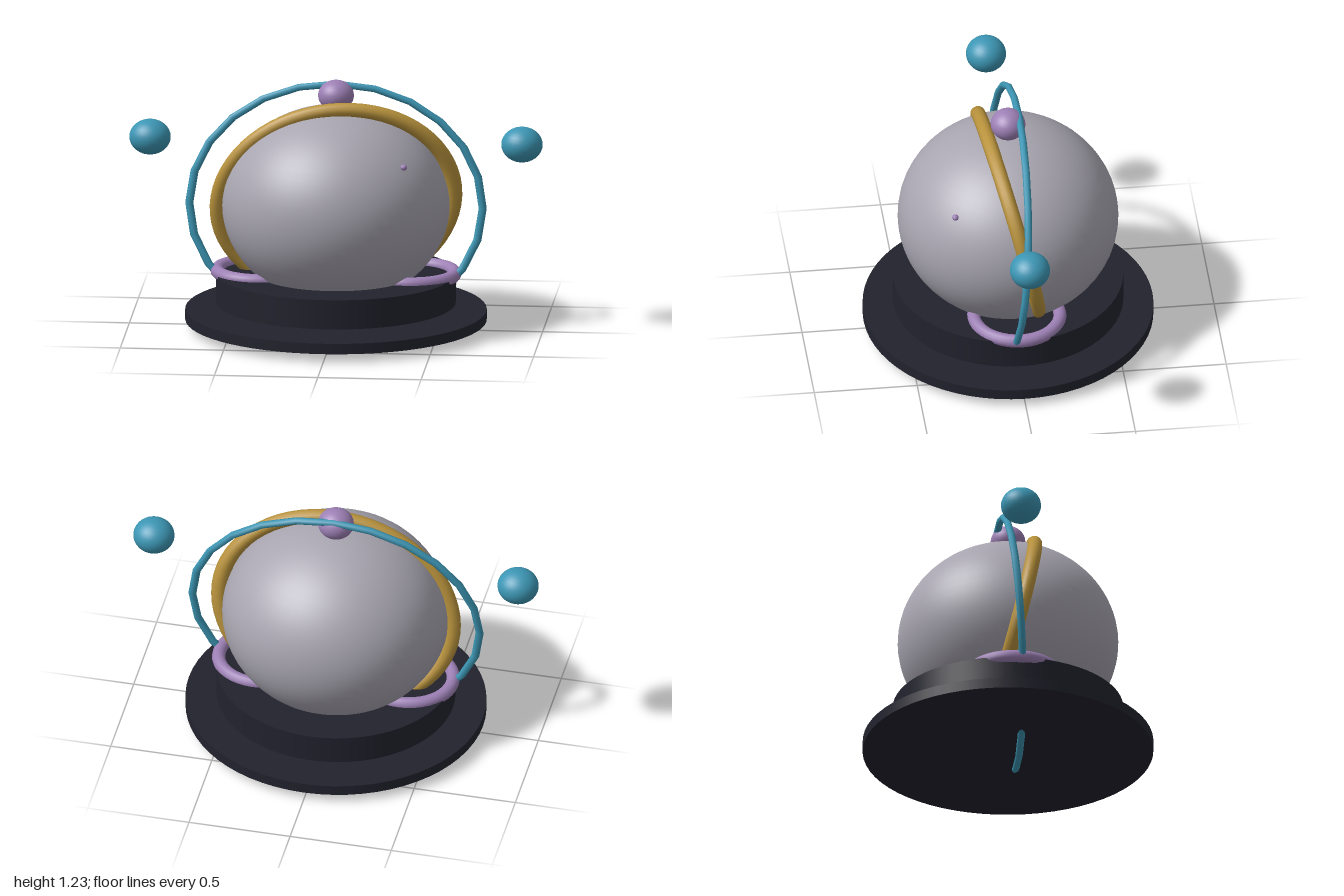
import * as THREE from 'three';

const mat = (name, color) => {
  const m = new THREE.MeshStandardMaterial({ color });
  m.name = name;
  return m;
};

export function createModel() {
  const group = new THREE.Group();
  const grey = mat('grey', 0xa8a5b0);
  const gold = mat('gold', 0xb8923c);
  const teal = mat('teal', 0x3c96b4);
  const purple = mat('purple', 0x9d80b5);
  const dark = mat('dark', 0x22222e);

  const add = (name, geometry, material) => {
    const mesh = new THREE.Mesh(geometry, material);
    mesh.name = name;
    group.add(mesh);
    return mesh;
  };

  // Ellipsoid from a centre and three radii
  const ball = (name, material, centre, radii, segments = 32) => {
    const g = new THREE.SphereGeometry(1, segments, segments / 2);
    g.scale(...radii).translate(...centre);
    return add(name, g, material);
  };

  // Elliptical ring spanned by two half-axes u and v
  const ring = (name, material, centre, u, v, tube, sides, segments) => {
    const U = new THREE.Vector3(...u), V = new THREE.Vector3(...v);
    const R = (U.length() + V.length()) / 2;
    const N = new THREE.Vector3().crossVectors(U, V).setLength(R);
    const g = new THREE.TorusGeometry(1, tube / R, sides, segments);
    g.applyMatrix4(new THREE.Matrix4().makeBasis(U, V, N).setPosition(...centre));
    return add(name, g, material);
  };

  // Slightly oval disc between two heights
  const disc = (name, rx, rz, y0, y1) => {
    const g = new THREE.CylinderGeometry(1, 1, y1 - y0, 64);
    g.scale(rx, 1, rz).translate(0, (y0 + y1) / 2, 0);
    return add(name, g, dark);
  };

  // Main body and the two stacked base discs
  ball('body', grey, [0, 0.618, 0], [0.55, 0.48, 0.532], 64);
  disc('upperBase', 0.578, 0.556, 0.132, 0.277);
  disc('lowerBase', 0.727, 0.701, 0.045, 0.097);

  // Rings around the body
  ring('goldRing', gold, [0, 0.635, 0], [0.569, 0.025, -0.04], [0.025, 0.476, 0.105], 0.036, 12, 64);
  ring('outerRing', teal, [0, 0.61, 0], [0.71, 0, 0], [0, 0.59, -0.053], 0.018, 8, 24);

  // Top knob and small stud on the front
  ball('topKnob', purple, [0, 1.157, 0], [0.087, 0.075, 0.084]);
  ball('stud', purple, [0.354, 0.88, 0.297], [0.017, 0.015, 0.016], 12);

  // Side loops and floating balls, mirrored
  for (const [label, s] of [['left', 1], ['right', -1]]) {
    ring(label + 'Loop', purple, [0.36 * s, 0.28, 0], [0.215, 0, 0], [0, 0, -0.208], 0.032, 12, 40);
    ball(label + 'Orb', teal, [0.9 * s, 0.932, 0], [0.1, 0.086, 0.097]);
  }
  return group;
}
